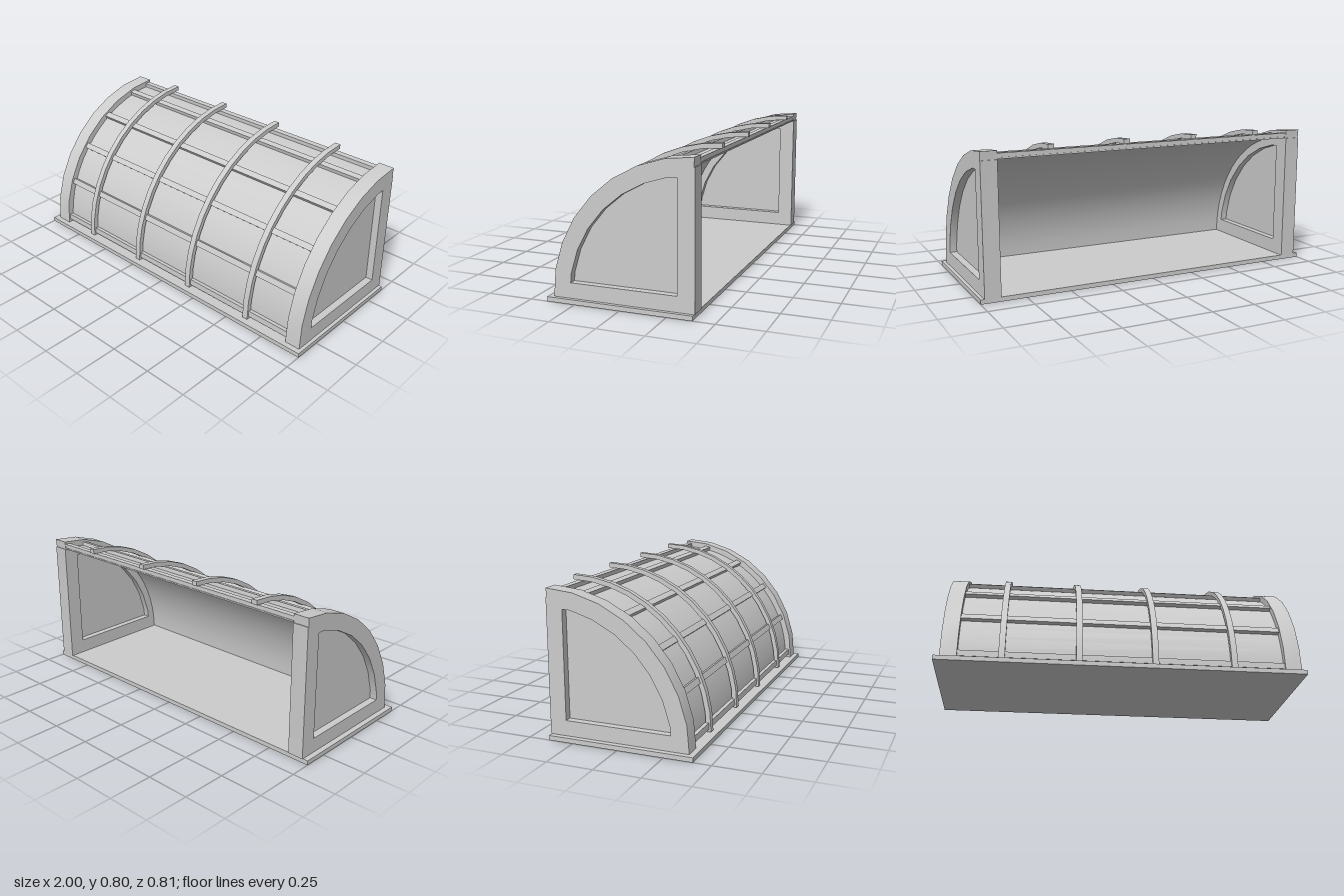
import * as THREE from 'three';
import { toCreasedNormals } from 'three/addons/utils/BufferGeometryUtils.js';

const CZ = -0.388, CY = 0.022; // axis of the quarter-round vault
const material = new THREE.MeshStandardMaterial({ color: 0xcccccc, side: THREE.DoubleSide });

// Points on an arc in the side plane; the shape's x is -z of the model
function arc(r, fromDeg, toDeg, segments, cz = CZ, cy = CY) {
  const points = [];
  for (let i = 0; i <= segments; i++) {
    const a = THREE.MathUtils.degToRad(fromDeg + ((toDeg - fromDeg) * i) / segments);
    points.push(new THREE.Vector2(-(cz + r * Math.cos(a)), cy + r * Math.sin(a)));
  }
  return points;
}
const p = (z, y) => new THREE.Vector2(-z, y);

// Side profile extruded along x
function extrudeX(name, points, x0, x1, hole) {
  const shape = new THREE.Shape(points);
  if (hole) shape.holes.push(new THREE.Path(hole));
  const geometry = new THREE.ExtrudeGeometry(shape, { depth: x1 - x0, bevelEnabled: false });
  geometry.rotateY(Math.PI / 2).translate(x0, 0, 0);
  const mesh = new THREE.Mesh(toCreasedNormals(geometry, 0.5), material);
  mesh.name = name;
  return mesh;
}

// Curved strip between two radii
function band(name, rIn, rOut, a0, a1, segments, x0, x1, cz, cy) {
  const outline = [
    ...arc(rOut, a0, a1, segments, cz, cy),
    ...arc(rIn, a0, a1, segments, cz, cy).reverse(),
  ];
  return extrudeX(name, outline, x0, x1);
}

export function createModel() {
  const model = new THREE.Group();
  model.name = 'vaultedShelter';

  // Floor slab
  const base = new THREE.Mesh(new THREE.BoxGeometry(2, 0.025, 0.79), material);
  base.name = 'base';
  base.position.set(0, 0.0125, 0.01);
  model.add(base);

  // End frames with a quarter-round window and a recessed pane
  const frameOutline = [
    p(-0.39, 0.025), p(0.375, 0.025), ...arc(0.765, 11.25, 90, 7),
    p(-0.385, 0.74), p(-0.39, 0.74),
  ];
  const windowOutline = [p(-0.3, 0.107), p(0.278, 0.107), ...arc(0.675, 11.25, 78.75, 6), p(-0.3, 0.686)];
  for (const [side, x0, x1] of [['right', -0.97, -0.88], ['left', 0.89, 0.98]]) {
    const end = new THREE.Group();
    end.name = side + 'End';
    const mid = (x0 + x1) / 2;
    end.add(extrudeX('endFrame', frameOutline, x0, x1, windowOutline));
    end.add(extrudeX('windowPane', windowOutline, mid - 0.005, mid + 0.005));
    model.add(end);
  }

  // Curved cover
  model.add(band('cover', 0.72, 0.728, 0.3, 90, 16, -0.88, 0.89));

  // Lengthwise rails
  for (const a of [3, 22, 40.7, 59.2, 78, 88.4])
    model.add(band('rail', 0.722, 0.75, a - 1.3, a + 1.3, 1, -0.88, 0.89));

  // Hoops over the cover
  for (const x of [-0.647, -0.235, 0.177, 0.61])
    model.add(band('hoop', 0.747, 0.773, 0, 90.3, 11, x - 0.017, x + 0.017, -0.4, 0.03));

  return model;
}
